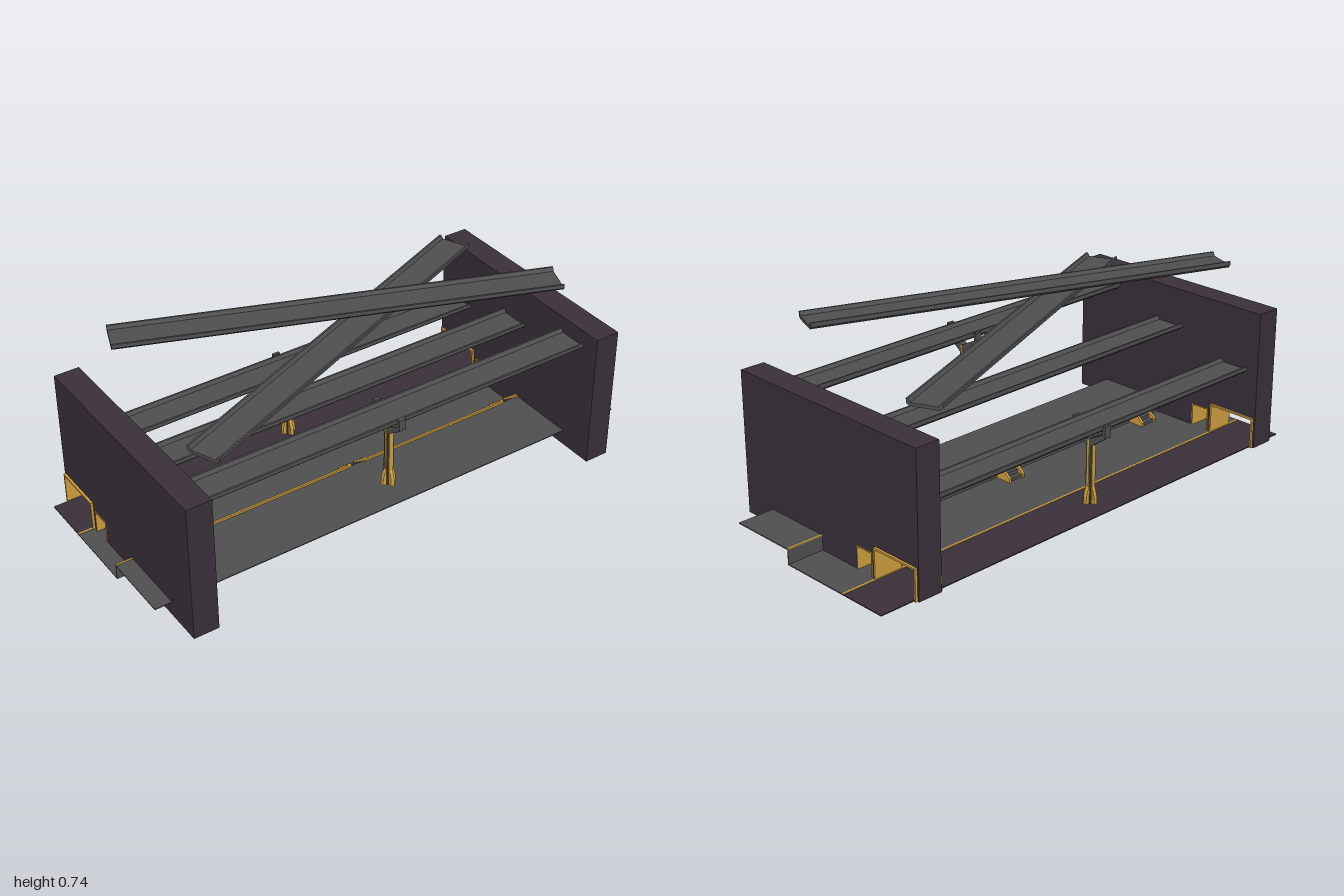
import * as THREE from 'three';

const mat = (name, color, side = THREE.FrontSide) => {
  const m = new THREE.MeshStandardMaterial({ color, side });
  m.name = name;
  return m;
};
const purple = mat('dark purple', 0x3a303b);
const purpleSheet = purple;
const gray = mat('dark gray', 0x505050, THREE.DoubleSide);
const gold = mat('gold', 0xd0a040);

const polygon = pts => new THREE.Shape(pts.map(p => new THREE.Vector2(...p)));

function add(parent, name, geometry, material, x = 0, y = 0, z = 0) {
  const mesh = new THREE.Mesh(geometry, material);
  mesh.name = name;
  mesh.position.set(x, y, z);
  parent.add(mesh);
  return mesh;
}

const box = (parent, name, material, w, h, d, x, y, z) =>
  add(parent, name, new THREE.BoxGeometry(w, h, d), material, x, y, z);

// Extrudes a [z, y] outline along x, from x0 to x1
function extrudeX(pts, x0, x1) {
  const g = new THREE.ExtrudeGeometry(polygon(pts.map(([z, y]) => [-z, y])), {
    depth: x1 - x0, bevelEnabled: false,
  });
  return g.rotateY(Math.PI / 2).translate(x0, 0, 0);
}

// Shallow channel with chamfered underside and raised lips
const LENGTH = 1.6;
const channelProfile = [
  [-0.065, 0.025], [-0.065, 0.01], [-0.055, 0], [0.055, 0], [0.065, 0.01],
  [0.065, 0.025], [0.058, 0.025], [0.05, 0.012], [-0.05, 0.012], [-0.058, 0.025],
];
const channelGeometry = extrudeX(channelProfile, -LENGTH / 2, LENGTH / 2);

// Post with flared foot, gold strips and a forked head
function makeSupport() {
  const g = new THREE.Group();
  g.name = 'railSupport';
  box(g, 'post', gray, 0.024, 0.25, 0.024, 0, 0.125, 0);
  for (const s of [-1, 1]) {
    box(g, 'postStrip', gold, 0.016, 0.25, 0.004, 0, 0.125, s * 0.013);
    box(g, 'postStrip', gold, 0.004, 0.25, 0.008, s * 0.013, 0.125, 0);
    // Fork arm, rising out to the rail edge, and its end tab
    const arm = extrudeX([[0, 0.215], [s * 0.078, 0.272], [s * 0.078, 0.29], [0, 0.25]]
      .slice()[s > 0 ? 'reverse' : 'slice'](), -0.014, 0.014);
    add(g, 'forkArm', arm, gray);
    box(g, 'forkTab', gray, 0.028, 0.045, 0.012, 0, 0.295, s * 0.073);
  }
  const fin = [[-0.028, 0], [0.028, 0], [0.026, 0.03], [0.02, 0.052], [0.014, 0.064],
    [-0.014, 0.064], [-0.02, 0.052], [-0.026, 0.03]];
  add(g, 'footFin', extrudeX(fin, -0.007, 0.007), gold);
  add(g, 'footFin', extrudeX(fin, -0.007, 0.007).rotateY(Math.PI / 2), gold);
  return g;
}

// Inverted U of trim around a wall opening, as a [z, y] outline
const archTrim = (z0, z1, h, t) => [
  [z0, 0], [z0, h], [z1, h], [z1, 0], [z1 - t, 0], [z1 - t, h - t], [z0 + t, h - t], [z0 + t, 0],
];

export function createModel() {
  const model = new THREE.Group();
  model.name = 'platformHall';

  // End walls with a large and a small opening
  const wallProfile = [
    [0.45, 0], [0.45, 0.54], [-0.45, 0.54], [-0.45, 0], [-0.442, 0], [-0.442, 0.12],
    [-0.238, 0.12], [-0.238, 0], [-0.222, 0], [-0.222, 0.092], [-0.145, 0.092], [-0.145, 0],
  ];
  for (const [x0, x1] of [[-0.935, -0.838], [0.758, 0.855]]) {
    add(model, 'endWall', extrudeX(wallProfile, x0, x1), purple);
    add(model, 'largeOpeningTrim', extrudeX(archTrim(-0.443, -0.237, 0.121, 0.007), x0 - 0.009, x1 + 0.009), gold);
    add(model, 'smallOpeningTrim', extrudeX(archTrim(-0.223, -0.144, 0.093, 0.004), x0 - 0.003, x1 + 0.003), gold);
  }

  // Floor: purple track bed, lower walkway, riser and raised platform
  box(model, 'trackBed', purpleSheet, 2, 0.004, 0.19, 0, 0.002, -0.338);
  box(model, 'lowerFloor', gray, 2, 0.004, 0.285, 0, 0.002, -0.1);
  box(model, 'riser', gray, 2, 0.058, 0.004, 0, 0.029, 0.04);
  box(model, 'raisedPlatform', gray, 2, 0.004, 0.272, 0, 0.058, 0.174);
  box(model, 'floorEdgeTrim', gold, 2, 0.004, 0.008, 0, 0.004, -0.243);

  // Gold lip along the platform edge, broken where the steps meet it
  for (const [x0, x1] of [[-1, -0.75], [-0.685, -0.03], [0.04, 0.68], [0.75, 1]]) {
    const inner = Math.abs(x0) < 0.7 && Math.abs(x1) < 0.7;
    box(model, 'platformEdgeTrim', gold, x1 - x0, inner ? 0.008 : 0.003, 0.008,
      (x0 + x1) / 2, inner ? 0.064 : 0.06, 0.04);
  }

  // Small stairs with gold cheeks
  for (const x of [-0.717, 0.005, 0.715]) {
    const stairs = new THREE.Group();
    stairs.name = 'stairs';
    stairs.position.x = x;
    for (let i = 0; i < 3; i++) {
      const h = 0.015 * (i + 1);
      box(stairs, 'step', gray, 0.06, h, 0.02, 0, h / 2, -0.012 + i * 0.02);
    }
    const cheek = [[0.044, 0], [0.044, 0.068], [0.03, 0.068], [-0.028, 0.018], [-0.028, 0]];
    for (const s of [-1, 1])
      add(stairs, 'stairCheek', extrudeX(cheek, s * 0.034 - 0.005, s * 0.034 + 0.005), gold);
    model.add(stairs);
  }

  // Straight rails between the walls: front, middle and back
  const midX = -0.04;
  for (const [y, z] of [[0.465, 0.315], [0.38, -0.01], [0.295, -0.335]])
    add(model, 'straightRail', channelGeometry, gray, midX, y, z);

  // Crossed rails above
  add(model, 'upperDiagonalRail', channelGeometry, gray, midX, 0.715, -0.01).rotation.y = -0.361;
  add(model, 'lowerDiagonalRail', channelGeometry, gray, midX, 0.585, -0.008).rotation.y = 0.394;

  // Supports under the front and back rails
  for (const [y, z] of [[0.175, 0.313], [0.004, -0.337]]) {
    const support = makeSupport();
    support.position.set(-0.055, y, z);
    model.add(support);
  }
  return model;
}
